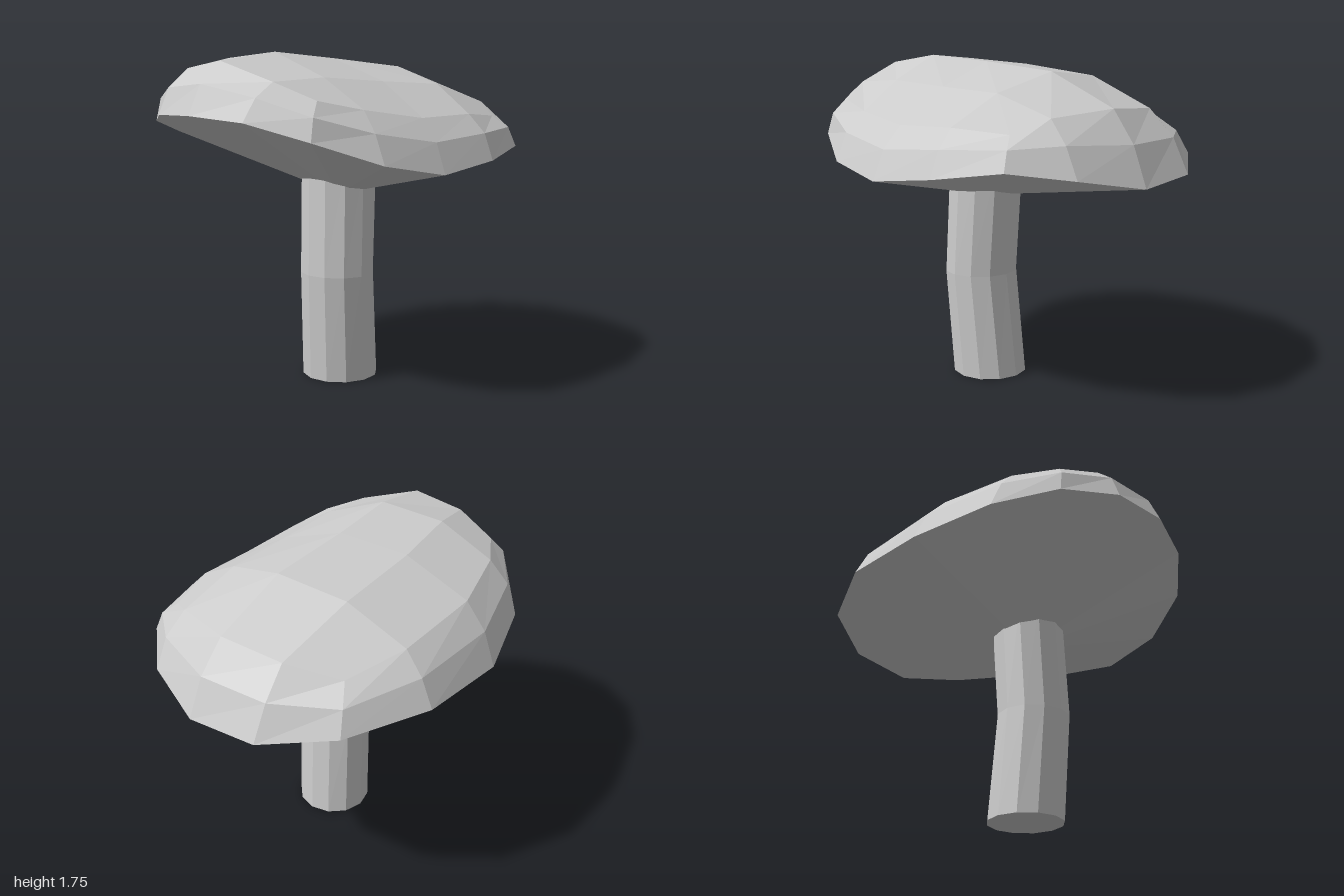
import * as THREE from 'three';

const material = new THREE.MeshStandardMaterial({ color: 0xcccccc, flatShading: true, side: THREE.DoubleSide });

// Rim of the cap, anticlockwise from the front right-hand corner (four edges per side)
const rim = [
  [-0.52, 1.395, 0.84], [-0.23, 1.44, 0.98], [0.09, 1.445, 1.0], [0.4, 1.42, 0.9],
  [0.66, 1.335, 0.71], [0.82, 1.225, 0.41], [0.86, 1.165, 0.06], [0.82, 1.21, -0.32],
  [0.68, 1.26, -0.66], [0.43, 1.22, -0.88], [0.07, 1.155, -1.0], [-0.32, 1.18, -0.97],
  [-0.65, 1.24, -0.75], [-0.85, 1.265, -0.33], [-0.87, 1.255, 0.17], [-0.74, 1.32, 0.58],
];

// Five cross-sections of the dome, front to back, each from -x to +x
const rows = [
  [[-0.44, 1.595, 0.77], [-0.2, 1.67, 0.83], [0.09, 1.705, 0.82], [0.4, 1.605, 0.73], [0.59, 1.52, 0.62]],
  [[-0.57, 1.59, 0.56], [-0.27, 1.725, 0.54], [0.08, 1.752, 0.49], [0.4, 1.625, 0.43], [0.65, 1.475, 0.39]],
  [[-0.68, 1.555, 0.18], [-0.33, 1.7, 0.15], [0.05, 1.725, 0.09], [0.4, 1.605, 0.05], [0.69, 1.43, 0.05]],
  [[-0.67, 1.51, -0.3], [-0.34, 1.65, -0.33], [0.05, 1.685, -0.38], [0.4, 1.59, -0.34], [0.67, 1.44, -0.3]],
  [[-0.55, 1.44, -0.6], [-0.3, 1.5, -0.74], [0.05, 1.52, -0.78], [0.4, 1.49, -0.69], [0.57, 1.42, -0.59]],
];

function meshFromTriangles(name, positions) {
  const geometry = new THREE.BufferGeometry();
  geometry.setAttribute('position', new THREE.Float32BufferAttribute(positions, 3));
  geometry.computeVertexNormals();
  const mesh = new THREE.Mesh(geometry, material);
  mesh.name = name;
  return mesh;
}

function createCapTop() {
  const positions = [];
  const quad = (a, b, c, d) => positions.push(...a, ...b, ...c, ...a, ...c, ...d);

  // Border of the dome grid, in the same order as the rim
  const border = [];
  for (let i = 0; i < 4; i++) border.push(rows[0][i]);
  for (let i = 0; i < 4; i++) border.push(rows[i][4]);
  for (let i = 4; i > 0; i--) border.push(rows[4][i]);
  for (let i = 4; i > 0; i--) border.push(rows[i][0]);

  // Shoulder ring, halfway between rim and border and bulging a little
  const shoulder = rim.map((p, i) => [
    (p[0] + border[i][0]) * 0.513,
    (p[1] + border[i][1]) * 0.5 + 0.02,
    (p[2] + border[i][2]) * 0.513,
  ]);

  // Side bands
  for (const [low, high] of [[rim, shoulder], [shoulder, border]]) {
    for (let i = 0; i < 16; i++) {
      const j = (i + 1) % 16;
      quad(low[i], low[j], high[j], high[i]);
    }
  }
  // Crown
  for (let r = 0; r < 4; r++) {
    for (let c = 0; c < 4; c++) {
      quad(rows[r][c], rows[r][c + 1], rows[r + 1][c + 1], rows[r + 1][c]);
    }
  }
  return meshFromTriangles('capTop', positions);
}

// Shallow cone from the rim down to the stem
function createCapUnderside() {
  const apex = [0.07, 1.0, 0.07];
  const positions = rim.flatMap((p, i) => [...rim[(i + 1) % 16], ...p, ...apex]);
  return meshFromTriangles('capUnderside', positions);
}

// Twelve-sided stem with a slight bend at mid height
function createStem() {
  const height = 1.16;
  const geometry = new THREE.CylinderGeometry(0.202, 0.206, height, 12, 2);
  geometry.translate(0, height / 2, 0);
  const p = geometry.attributes.position;
  for (let i = 0; i < p.count; i++) {
    const t = p.getY(i) / height;
    const bend = Math.sin(Math.PI * t);
    p.setX(i, p.getX(i) + 0.065 + 0.01 * t + 0.02 * bend);
    p.setZ(i, p.getZ(i) * (1 - 0.04 * bend) + 0.055 + 0.015 * t + 0.033 * bend);
  }
  geometry.computeVertexNormals();
  const stem = new THREE.Mesh(geometry, material);
  stem.name = 'stem';
  return stem;
}

export function createModel() {
  const model = new THREE.Group();
  model.name = 'mushroom';
  const cap = new THREE.Group();
  cap.name = 'cap';
  cap.add(createCapTop(), createCapUnderside());
  model.add(cap, createStem());
  return model;
}
